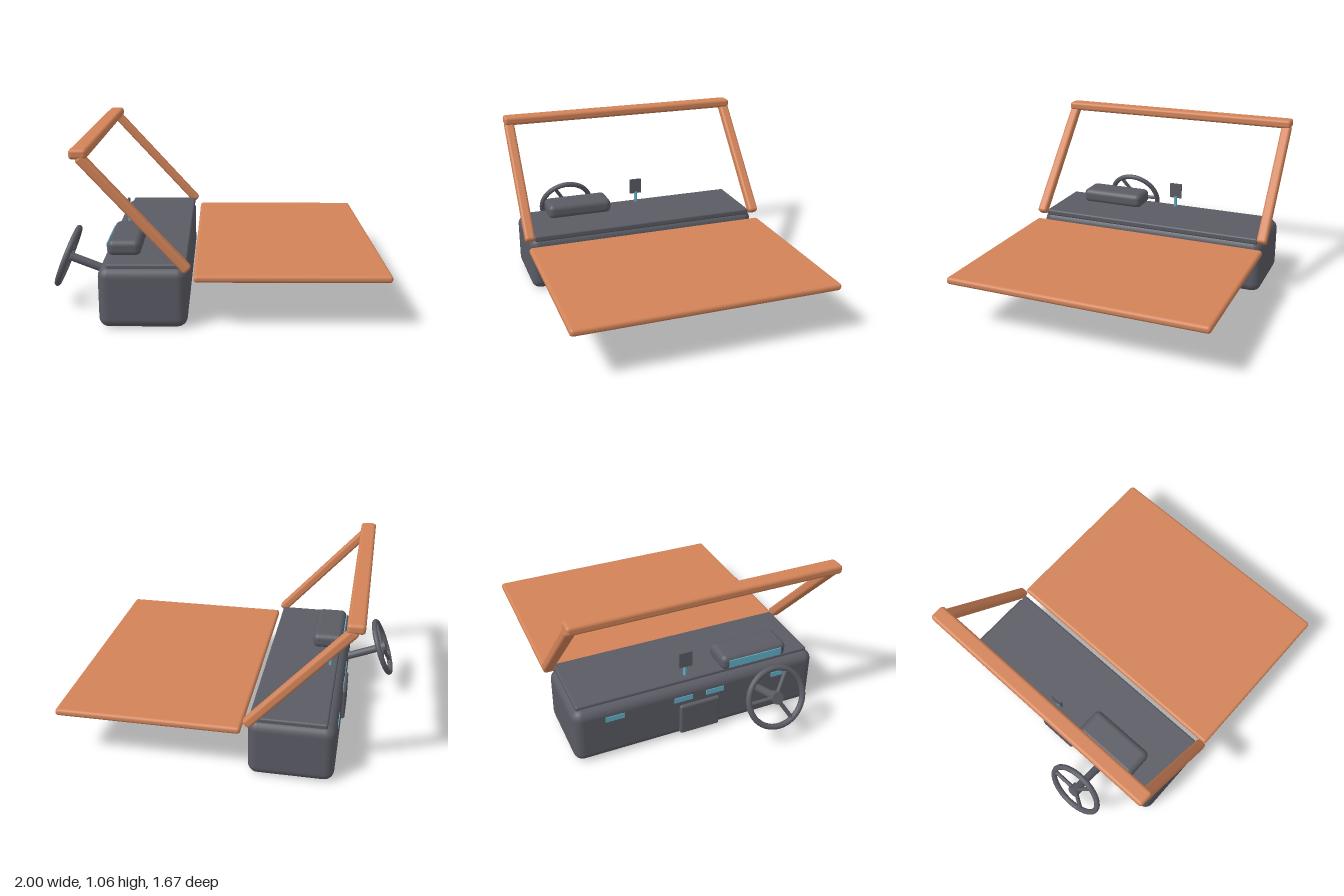
import * as THREE from 'three';
import { RoundedBoxGeometry } from 'three/addons/geometries/RoundedBoxGeometry.js';

export function createModel() {
  const model = new THREE.Group();
  model.name = 'carDashboard';

  const material = (name, color) => {
    const m = new THREE.MeshStandardMaterial({ color });
    m.name = name;
    return m;
  };
  const orange = material('orangePaint', 0xd28358);
  const grey = material('darkGrey', 0x5a5b64);
  const teal = material('tealGlass', 0x62b0c8);

  const add = (parent, name, geometry, mat, x = 0, y = 0, z = 0) => {
    const mesh = new THREE.Mesh(geometry, mat);
    mesh.name = name;
    mesh.position.set(x, y, z);
    parent.add(mesh);
    return mesh;
  };
  // Rounded box given by its limits on each axis
  const block = (name, mat, [x0, x1], [y0, y1], [z0, z1], r) =>
    add(model, name, new RoundedBoxGeometry(x1 - x0, y1 - y0, z1 - z0, 4, r), mat,
      (x0 + x1) / 2, (y0 + y1) / 2, (z0 + z1) / 2);

  // Bonnet panel
  block('bonnet', orange, [-0.13, 1], [0.29, 0.335], [-0.82, 0.82], 0.02);

  // Dashboard body, top pad, instrument hood and centre console
  block('dashBody', grey, [-0.68, -0.165], [0, 0.367], [-0.8, 0.8], 0.06);
  block('dashPad', grey, [-0.63, -0.17], [0.345, 0.386], [-0.77, 0.77], 0.012);
  block('instrumentHood', grey, [-0.645, -0.445], [0.375, 0.476], [0.165, 0.612], 0.038);
  block('centreConsole', grey, [-0.7, -0.64], [0.025, 0.24], [-0.135, 0.13], 0.015);

  // Instrument glass and air vents, facing the driver
  add(model, 'instrumentGlass', new THREE.BoxGeometry(0.008, 0.05, 0.36), teal, -0.645, 0.425, 0.39);
  for (const z of [-0.55, -0.11, 0.1, 0.55]) {
    add(model, 'airVent', new THREE.BoxGeometry(0.008, 0.035, 0.12), teal, -0.68, 0.285, z);
  }

  // Small display on a stem
  add(model, 'displayStem', new THREE.CylinderGeometry(0.011, 0.011, 0.09, 16), teal, -0.585, 0.415, -0.06);
  add(model, 'display', new THREE.BoxGeometry(0.012, 0.105, 0.085), grey, -0.59, 0.503, -0.06);

  // Windscreen frame: two raked pillars and a top rail
  const foot = new THREE.Vector2(-0.17, 0.375);
  const head = new THREE.Vector2(-0.74, 1.005);
  const rake = head.clone().sub(foot);
  for (const side of [-1, 1]) {
    const pillar = add(model, side > 0 ? 'leftPillar' : 'rightPillar',
      new RoundedBoxGeometry(rake.length() + 0.03, 0.058, 0.066, 4, 0.018), orange,
      (foot.x + head.x) / 2, (foot.y + head.y) / 2, side * 0.802);
    pillar.rotation.z = rake.angle();
  }
  block('topRail', orange, [-0.8, -0.7], [1.002, 1.06], [-0.835, 0.835], 0.02);

  // Steering wheel: local +z points along the column towards the driver
  const wheel = new THREE.Group();
  wheel.name = 'steeringWheel';
  wheel.position.set(-0.914, 0.312, 0.39);
  wheel.quaternion.setFromRotationMatrix(new THREE.Matrix4().makeBasis(
    new THREE.Vector3(0, 0, 1),
    new THREE.Vector3(0.37, 0.93, 0).normalize(),
    new THREE.Vector3(-0.93, 0.37, 0).normalize()));
  model.add(wheel);
  add(wheel, 'rim', new THREE.TorusGeometry(0.182, 0.018, 12, 48), grey);
  add(wheel, 'hub', new THREE.CylinderGeometry(0.038, 0.038, 0.05, 24), grey).rotation.x = Math.PI / 2;
  add(wheel, 'column', new THREE.CylinderGeometry(0.026, 0.026, 0.3, 20), grey, 0, 0, -0.15).rotation.x = Math.PI / 2;
  for (let i = 0; i < 3; i++) {
    const a = Math.PI + i * Math.PI * 2 / 3;
    const spoke = add(wheel, 'spoke', new THREE.CylinderGeometry(0.013, 0.013, 0.18, 12), grey,
      Math.cos(a) * 0.09, Math.sin(a) * 0.09, 0);
    spoke.rotation.z = a - Math.PI / 2;
  }

  return model;
}
